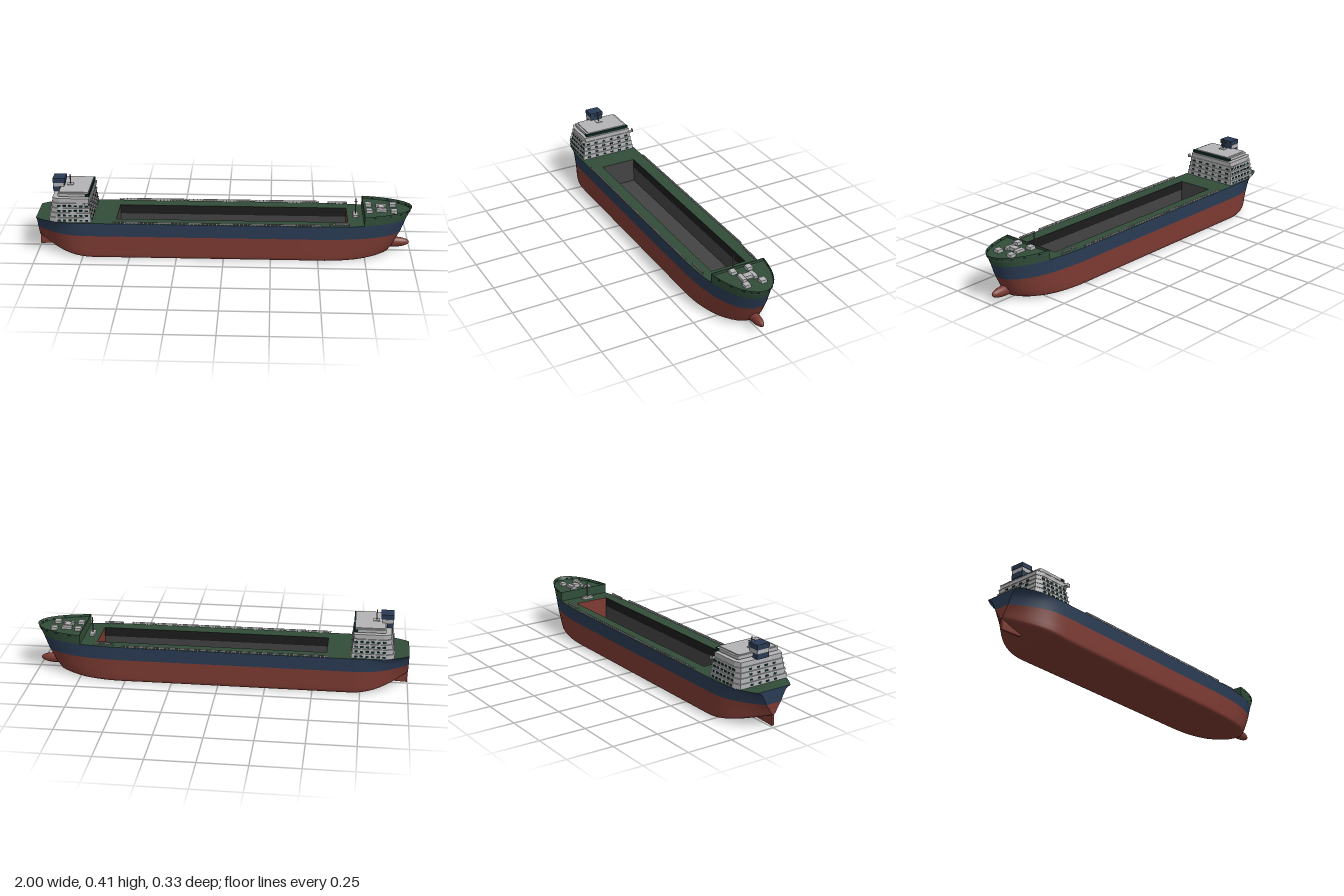
import * as THREE from 'three';

const mat = (name, color, side = THREE.FrontSide) => {
  const m = new THREE.MeshStandardMaterial({ color, side });
  m.name = name;
  return m;
};
const RED = mat('antifouling red', 0x7c3a32, THREE.DoubleSide);
const NAVY = mat('navy blue', 0x2a3b54, THREE.DoubleSide);
const GREEN = mat('deck green', 0x314d39, THREE.DoubleSide);
const GREY = mat('pale grey', 0xb4b4b6);
const HOLD = mat('hold grey', 0x434343);
const BLACK = mat('coaming black', 0x1c1c1c);
const GLASS = mat('dark glass', 0x0c2925);
const STEEL = mat('mast steel', 0x5c5c60);

const BEAM = 0.167, WATER = 0.127, DECK = 0.2;
// Stem position at each height, giving the raked bow
const STEM = [[0, 0.8], [0.006, 0.85], [0.02, 0.885], [0.05, 0.905], [WATER, 0.945], [DECK, 0.972], [0.26, 1]];
function stemX(y) {
  for (let i = 1; i < STEM.length; i++) {
    const [y0, x0] = STEM[i - 1], [y1, x1] = STEM[i];
    if (y <= y1) return x0 + (x1 - x0) * (y - y0) / (y1 - y0);
  }
  return 1;
}
const bowWidth = (u) => BEAM * Math.sqrt(Math.max(0, 1 - u ** 3));

// Point on the hull side for station s (-1 stern, 0.4 shoulder, 1.4 stem) and level y
function hullPoint(s, y, inset = 0) {
  if (s > 0.4) {
    const t = s - 0.4, u = 1 - (1 - t) ** 2;
    return [0.4 + u * (stemX(y) - 0.4), y, Math.max(0, bowWidth(u) - inset * (1 - u))];
  }
  // Stern sections narrow to a vee below the deck
  const u = Math.max(0, (-0.7 - s) / 0.3), low = Math.max(0, 1 - y / DECK);
  const keel = 0.066 * u ** 1.6;
  const w = (BEAM - 0.067 * u ** 3.2) * (1 - 0.92 * u ** 2.5 * Math.sqrt(low)) - inset;
  return [s, y < WATER ? keel + y * (WATER - keel) / WATER : y, Math.max(0, w)];
}

// Surface through rows of points
function grid(rows) {
  const n = rows[0].length, index = [];
  for (let i = 0; i < rows.length - 1; i++)
    for (let j = 0; j < n - 1; j++) {
      const a = i * n + j, b = a + n;
      index.push(a, a + 1, b, b, a + 1, b + 1);
    }
  const g = new THREE.BufferGeometry();
  g.setAttribute('position', new THREE.Float32BufferAttribute(rows.flat(2), 3));
  g.setIndex(index);
  g.computeVertexNormals();
  return g;
}
const flip = ([x, y, z]) => [x, y, -z];

const STATIONS = [];
for (let i = 0; i <= 12; i++) STATIONS.push(-1 + i * 0.025);
STATIONS.push(-0.6, 0, 0.4);
for (let i = 1; i <= 16; i++) STATIONS.push(0.4 + i / 16);

// Flat horizontal outline; plan points are [x, z] on the +z side, mirrored across
function planShape(half) {
  const pts = [...half, ...[...half].reverse().map(([x, z]) => [x, -z])];
  return new THREE.Shape(pts.map(([x, z]) => new THREE.Vector2(x, z)));
}

export function createModel() {
  const ship = new THREE.Group();
  ship.name = 'cargoShip';
  const add = (name, geo, material, parent = ship) => {
    const m = new THREE.Mesh(geo, material);
    m.name = name;
    parent.add(m);
    return m;
  };
  const box = (name, material, x, y, z, w, h, d, parent) => {
    const m = add(name, new THREE.BoxGeometry(w, h, d), material, parent);
    m.position.set(x, y, z);
    return m;
  };
  const slab = (name, material, half, y, h, parent) => {
    const g = new THREE.ExtrudeGeometry(planShape(half), { depth: h, bevelEnabled: false });
    g.rotateX(-Math.PI / 2);
    g.translate(0, y, 0);
    return add(name, g, material, parent);
  };

  // Lower hull, one ring from port waterline round the keel to starboard
  const lower = [[WATER, 0], [0.08, 0], [0.05, 0], [0.02, 0], [0.011, 0.002], [0.004, 0.007], [0, 0.017]];
  const lowerRing = (s) => {
    const half = lower.map(([y, inset]) => hullPoint(s, y, inset));
    const [kx, ky] = half[half.length - 1];
    return [...half, [kx, ky, 0], ...half.map(flip).reverse()];
  };
  add('lowerHull', grid(STATIONS.map(lowerRing)), RED);
  const upper = [DECK, 0.185, 0.16, WATER];
  for (const side of [1, -1])
    add('upperHull', grid(STATIONS.map((s) => {
      const r = upper.map((y) => hullPoint(s, y));
      return side > 0 ? r : r.map(flip).reverse();
    })), NAVY);

  // Flat stern
  const transom = (name, ys, m) => {
    const r = ys.map(([y, i]) => hullPoint(-1, y, i));
    add(name, grid([r.map(flip), r]), m);
  };
  transom('lowerTransom', lower, RED);
  transom('upperTransom', upper.map((y) => [y, 0]), NAVY);

  // Main deck with the hold opening
  const H0 = -0.57, H1 = 0.655, HZ = 0.098, FLOOR = 0.06, LIP = 0.05;
  const deck = planShape(STATIONS.map((s) => { const p = hullPoint(s, DECK); return [p[0], p[2]]; }));
  deck.holes.push(new THREE.Path([[H0, -HZ], [H0, HZ], [H1, HZ], [H1, -HZ]].map((p) => new THREE.Vector2(...p))));
  const deckGeo = new THREE.ShapeGeometry(deck);
  deckGeo.rotateX(-Math.PI / 2);
  add('mainDeck', deckGeo, GREEN).position.y = DECK;

  // Cargo hold, with a black band under the deck edge
  const hm = (H0 + H1) / 2, hl = H1 - H0, hy = (FLOOR + DECK) / 2 - 0.001, hh = DECK - FLOOR;
  box('holdFloor', HOLD, hm, FLOOR, 0, hl, 0.008, HZ * 2);
  for (const s of [1, -1]) {
    box('holdSide', HOLD, hm, hy - LIP / 2, s * (HZ + 0.002), hl, hh - LIP, 0.004);
    box('holdUpperSide', BLACK, hm, DECK - 0.001 - LIP / 2, s * (HZ + 0.002), hl, LIP, 0.004);
  }
  box('holdAftWall', HOLD, H0 - 0.002, hy, 0, 0.004, hh, HZ * 2);
  box('holdForwardWall', RED, H1 + 0.002, hy, 0, 0.004, hh, HZ * 2);

  // Raised forecastle with bulwark
  const FX = 0.742, FD = 0.238;
  const bowPoint = (t, y) => {
    const xs = stemX(y), x = FX + (1 - (1 - t) ** 2) * (xs - FX);
    return [x, y, bowWidth((x - 0.4) / (xs - 0.4))];
  };
  const ts = Array.from({ length: 17 }, (_, i) => i / 16);
  for (const side of [1, -1]) {
    add('bulwark', grid(ts.map((t) => {
      const r = [0.252 + 0.006 * t, 0.225, DECK].map((y) => bowPoint(t, y));
      return side > 0 ? r : r.map(flip).reverse();
    })), GREEN);
    // Mooring slots in the bulwark
    for (const t of [0.12, 0.32, 0.52, 0.7, 0.83]) {
      const [x, y, z] = bowPoint(t, 0.243), [x1, , z1] = bowPoint(t + 0.01, 0.243);
      box('mooringSlot', GLASS, x, y, side * z, 0.014, 0.005, 0.004).rotation.y = Math.atan2(-side * (z1 - z), x1 - x);
    }
  }
  slab('forecastleDeck', GREEN, ts.map((t) => { const p = bowPoint(t, FD); return [p[0], p[2] * 0.995]; }), FD - 0.004, 0.004);
  box('forecastleBulkhead', GREEN, FX, 0.2255, 0, 0.004, 0.052, 0.3);

  // Mooring gear on the forecastle
  const gear = new THREE.Group();
  gear.name = 'mooringGear';
  ship.add(gear);
  for (const z of [0.045, -0.045])
    for (const x of [0.77, 0.9]) box('winch', GREY, x, FD + 0.008, z, 0.034, 0.016, 0.032, gear);
  box('windlass', GREY, 0.835, FD + 0.009, 0, 0.032, 0.018, 0.044, gear);
  for (const z of [0.032, -0.032]) box('windlassDrum', GREY, 0.835, FD + 0.007, z, 0.056, 0.014, 0.022, gear);

  // Fore mast
  box('foreMastBase', GREY, 0.7, 0.206, 0, 0.026, 0.012, 0.064);
  box('foreMast', STEEL, 0.7, 0.248, 0, 0.005, 0.098, 0.005);
  box('foreMastArm', STEEL, 0.7, 0.28, 0, 0.016, 0.003, 0.003);

  // Side railings
  for (const s of [1, -1])
    for (const [x0, x1, top, n, z] of [[-0.58, 0.51, 0.211, 54, 0.163], [0.56, 0.66, 0.215, 5, 0.148]]) {
      const mid = (x0 + x1) / 2;
      for (const y of [top, top - 0.006]) box('rail', GREY, mid, y, s * z, x1 - x0, 0.003, 0.003);
      for (let i = 0; i <= n; i++)
        box('railPost', GREY, x0 + (x1 - x0) * i / n, (DECK + top) / 2, s * z, 0.004, top - DECK, 0.004);
    }

  // Deckhouse: tapering tiers with slim ledges and windows
  const house = new THREE.Group();
  house.name = 'deckhouse';
  ship.add(house);
  const plan = (aft, fore, w, c = 0.035) => [[aft, w - c * 0.4], [aft + c, w], [fore, w]];
  const TIERS = 5, TH = 0.0256;
  for (let i = 0; i < TIERS; i++) {
    const aft = -0.92 + i * 0.005, fore = -0.697 - i * 0.003, w = 0.155 - i * 0.0042, y = DECK + i * TH;
    slab('tier', GREY, plan(aft, fore, w), y, TH, house);
    slab('tierLedge', GREY, plan(aft - 0.0015, fore + 0.0015, w + 0.0012), y + TH - 0.004, 0.004, house);
    if (i === TIERS - 1) continue;
    const wy = y + 0.0105;
    for (const z of [-0.12, -0.072, -0.024, 0.024, 0.072, 0.12]) {
      box('frontWindow', GLASS, fore, wy, z, 0.004, 0.009, 0.018, house);
      if (Math.abs(z) < 0.11) box('aftWindow', GLASS, aft, wy, z, 0.004, 0.009, 0.018, house);
    }
    for (const s of [1, -1])
      for (let k = 0; k < 6; k++) box('sideWindow', GLASS, -0.866 + k * 0.029, wy, s * w, 0.017, 0.01, 0.004, house);
  }

  // Bridge on a narrow base, with front window band and wings
  box('bridgeBase', GLASS, -0.79, 0.331, 0, 0.13, 0.008, 0.08, house);
  slab('bridgeFloor', GREY, plan(-0.87, -0.71, 0.122, 0.012), 0.332, 0.004, house);
  slab('bridgeBody', GREY, plan(-0.872, -0.715, 0.127, 0.012), 0.335, 0.016, house);
  box('bridgeWindowBand', GLASS, -0.717, 0.343, 0, 0.022, 0.014, 0.26, house);
  slab('bridgeRoof', GREY, plan(-0.868, -0.712, 0.115, 0.012), 0.351, 0.005, house);
  box('bridgeWing', GREY, -0.715, 0.303, 0, 0.02, 0.004, 0.33, house);
  for (const s of [1, -1]) box('wingEnd', GREY, -0.715, 0.307, s * 0.164, 0.02, 0.017, 0.004, house);

  // Funnel with pale band plates on its sides and back
  const funnel = new THREE.Group();
  funnel.name = 'funnel';
  ship.add(funnel);
  box('funnelBase', NAVY, -0.893, 0.341, 0, 0.034, 0.028, 0.072, funnel);
  box('funnelBody', NAVY, -0.88, 0.366, 0, 0.058, 0.024, 0.072, funnel);
  for (const s of [1, -1]) box('funnelSideBand', GREY, -0.88, 0.365, s * 0.036, 0.057, 0.02, 0.003, funnel);
  box('funnelAftBand', GREY, -0.909, 0.365, 0, 0.003, 0.02, 0.07, funnel);
  box('funnelTop', NAVY, -0.878, 0.389, 0, 0.066, 0.024, 0.076, funnel);

  // Radar mast
  box('radarMast', STEEL, -0.822, 0.384, 0, 0.005, 0.058, 0.005);
  box('radarFoot', GREY, -0.822, 0.358, 0, 0.034, 0.004, 0.034);
  box('radarArm', STEEL, -0.822, 0.395, 0, 0.004, 0.003, 0.042);

  // Bulbous bow and rudder
  const bulb = add('bulbousBow', new THREE.SphereGeometry(1, 24, 16), RED);
  bulb.scale.set(0.085, 0.028, 0.024);
  bulb.position.set(0.908, 0.05, 0);
  const fin = new THREE.Shape([[-0.998, 0.01], [-0.875, 0.016], [-0.86, 0.045], [-0.998, 0.085]].map((p) => new THREE.Vector2(...p)));
  const rudder = new THREE.ExtrudeGeometry(fin, { depth: 0.012, bevelEnabled: false });
  rudder.translate(0, 0, -0.006);
  add('rudder', rudder, RED);
  return ship;
}
